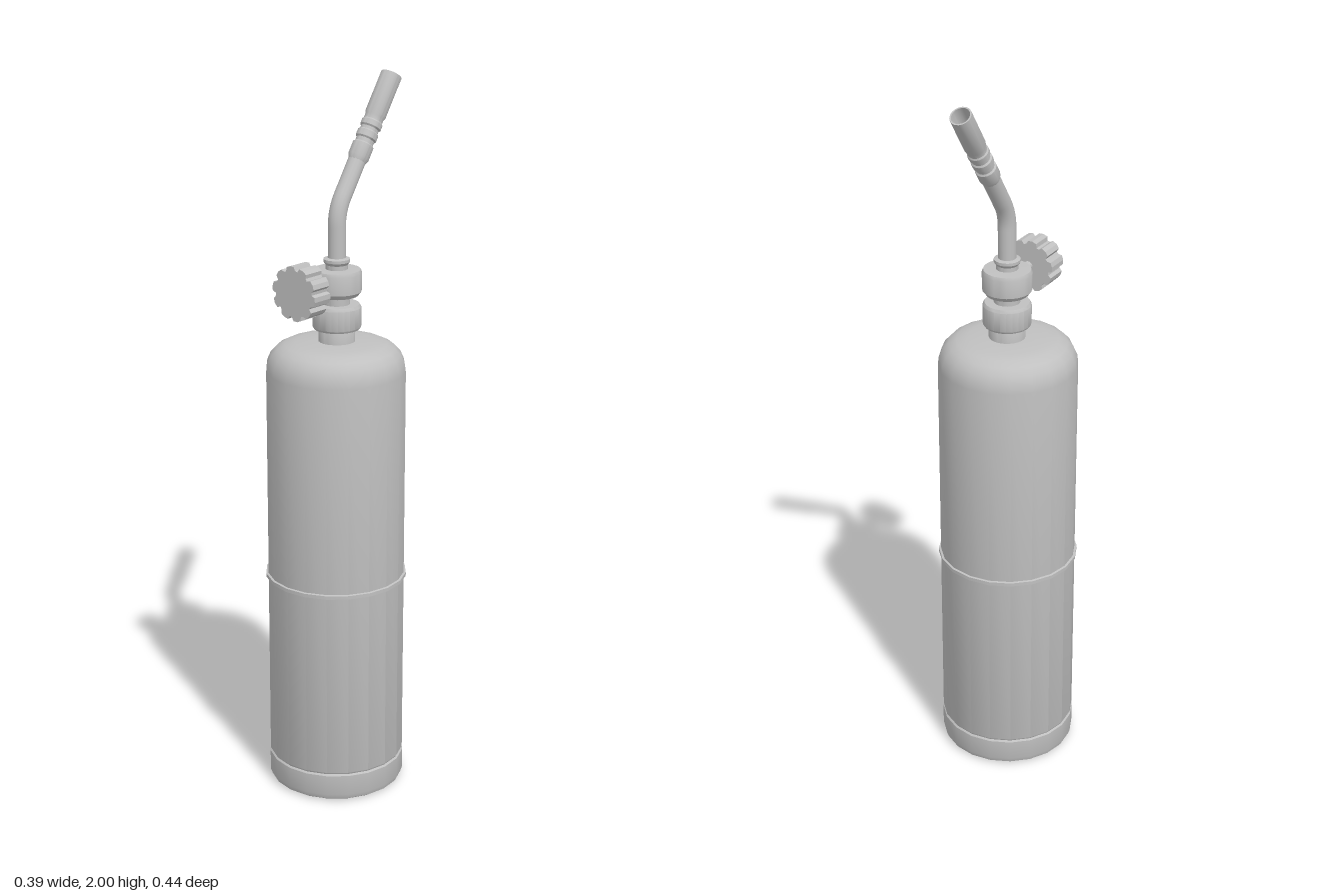
import * as THREE from 'three';
import { toCreasedNormals } from 'three/addons/utils/BufferGeometryUtils.js';

const UP = new THREE.Vector3(0, 1, 0);
const AXIS_Z = 0.024; // the bottle axis sits slightly forward

export function createModel() {
  const root = new THREE.Group();
  root.name = 'gasTorch';
  const metal = new THREE.MeshStandardMaterial({ color: 0xc0c0c0 });
  metal.name = 'grey metal';

  const add = (name, geometry, parent = root) => {
    const mesh = new THREE.Mesh(geometry, metal);
    mesh.name = name;
    parent.add(mesh);
    return mesh;
  };
  // Turned part from [radius, height] pairs, keeping sharp edges
  const turned = (pairs, sides) => toCreasedNormals(
    new THREE.LatheGeometry(pairs.map(([r, y]) => new THREE.Vector2(r, y)), sides, Math.PI / sides), 0.6);
  // Group whose local y runs along a direction
  const along = (name, origin, direction) => {
    const group = new THREE.Group();
    group.name = name;
    group.position.copy(origin);
    group.quaternion.setFromUnitVectors(UP, direction.clone().normalize());
    root.add(group);
    return group;
  };

  // Gas bottle: foot cup, groove, body and rounded shoulder
  const bottle = along('bottle', new THREE.Vector3(-0.002, 0, AXIS_Z), UP);
  add('footCup', turned([[0, 0.025], [0.09, 0.02], [0.14, 0.008], [0.165, 0.001], [0.178, 0],
    [0.187, 0.006], [0.192, 0.02], [0.192, 0.078], [0.186, 0.084]], 20), bottle);
  add('bottleBody', turned([[0.186, 0.08], [0.191, 0.088], [0.191, 1.215], [0.188, 1.238], [0.178, 1.261],
    [0.162, 1.278], [0.14, 1.289], [0.11, 1.294], [0.06, 1.297], [0, 1.297]], 20), bottle);
  add('middleSeam', turned([[0.188, 0.618], [0.197, 0.62], [0.197, 0.63], [0.188, 0.632]], 20), bottle);

  // Valve stack on top of the bottle
  const valve = along('valve', new THREE.Vector3(0, 0, 0.022), UP);
  add('neck', turned([[0.05, 1.28], [0.05, 1.325], [0.046, 1.335], [0, 1.335]], 20), valve);
  add('collar', turned([[0, 1.332], [0.062, 1.332], [0.066, 1.338], [0.066, 1.392], [0.061, 1.4], [0, 1.4]], 24), valve);
  add('valveStem', turned([[0.036, 1.395], [0.036, 1.435]], 20), valve);
  add('valveBlock', turned([[0, 1.424], [0.058, 1.424], [0.067, 1.436], [0.068, 1.486], [0.064, 1.495], [0, 1.497]], 24), valve);
  add('pipeSocket', turned([[0.03, 1.49], [0.03, 1.508], [0.036, 1.516], [0.036, 1.524], [0.026, 1.527], [0, 1.527]], 20), valve);

  // Bent pipe
  const bend = new THREE.Vector3(0, 1.655, 0.02);
  const tip = new THREE.Vector3(0.024, 1.985, -0.2);
  const dir = tip.clone().sub(bend).normalize();
  const at = s => bend.clone().addScaledVector(dir, s);
  const path = new THREE.CurvePath();
  const bendStart = new THREE.Vector3(0, 1.615, 0.021);
  path.add(new THREE.LineCurve3(new THREE.Vector3(0, 1.5, 0.022), bendStart));
  path.add(new THREE.QuadraticBezierCurve3(bendStart, bend, at(0.04)));
  path.add(new THREE.LineCurve3(at(0.04), at(0.16)));
  add('pipe', new THREE.TubeGeometry(path, 32, 0.0245, 16));

  // Burner: stepped rings and an open end
  const length = tip.distanceTo(bend);
  const burner = along('burner', bend, dir);
  add('burnerTube', turned([[0.0235, 0.14], [0.029, 0.155], [0.029, 0.19], [0.025, 0.194], [0.025, 0.205],
    [0.029, 0.209], [0.029, 0.226], [0.025, 0.23], [0.025, 0.238], [0.029, 0.242], [0.029, 0.256],
    [0.026, 0.26], [0.026, 0.272], [0.029, 0.28], [0.029, length], [0.025, length],
    [0.024, length - 0.09], [0, length - 0.09]], 18), burner);

  // Control knob on its spindle
  const control = along('control', new THREE.Vector3(0, 1.46, 0.022), new THREE.Vector3(-0.1, 0, 1));
  add('spindleNut', turned([[0.024, 0.05], [0.024, 0.084], [0, 0.084]], 12), control);
  add('spindle', turned([[0.014, 0.07], [0.014, 0.12]], 12), control);
  const outline = [];
  const lobes = 10;
  for (let i = 0; i < lobes; i++) {
    for (const [step, r] of [[0, 0.062], [0.2, 0.064], [0.32, 0.073], [0.6, 0.0745], [0.88, 0.073]]) {
      const a = (i + step) / lobes * Math.PI * 2;
      outline.push(new THREE.Vector2(r * Math.cos(a), r * Math.sin(a)));
    }
  }
  const knob = new THREE.ExtrudeGeometry(new THREE.Shape(outline), { depth: 0.062, bevelEnabled: false });
  knob.rotateX(-Math.PI / 2).translate(0, 0.112, 0);
  add('knob', toCreasedNormals(knob, 0.4), control);

  return root;
}
